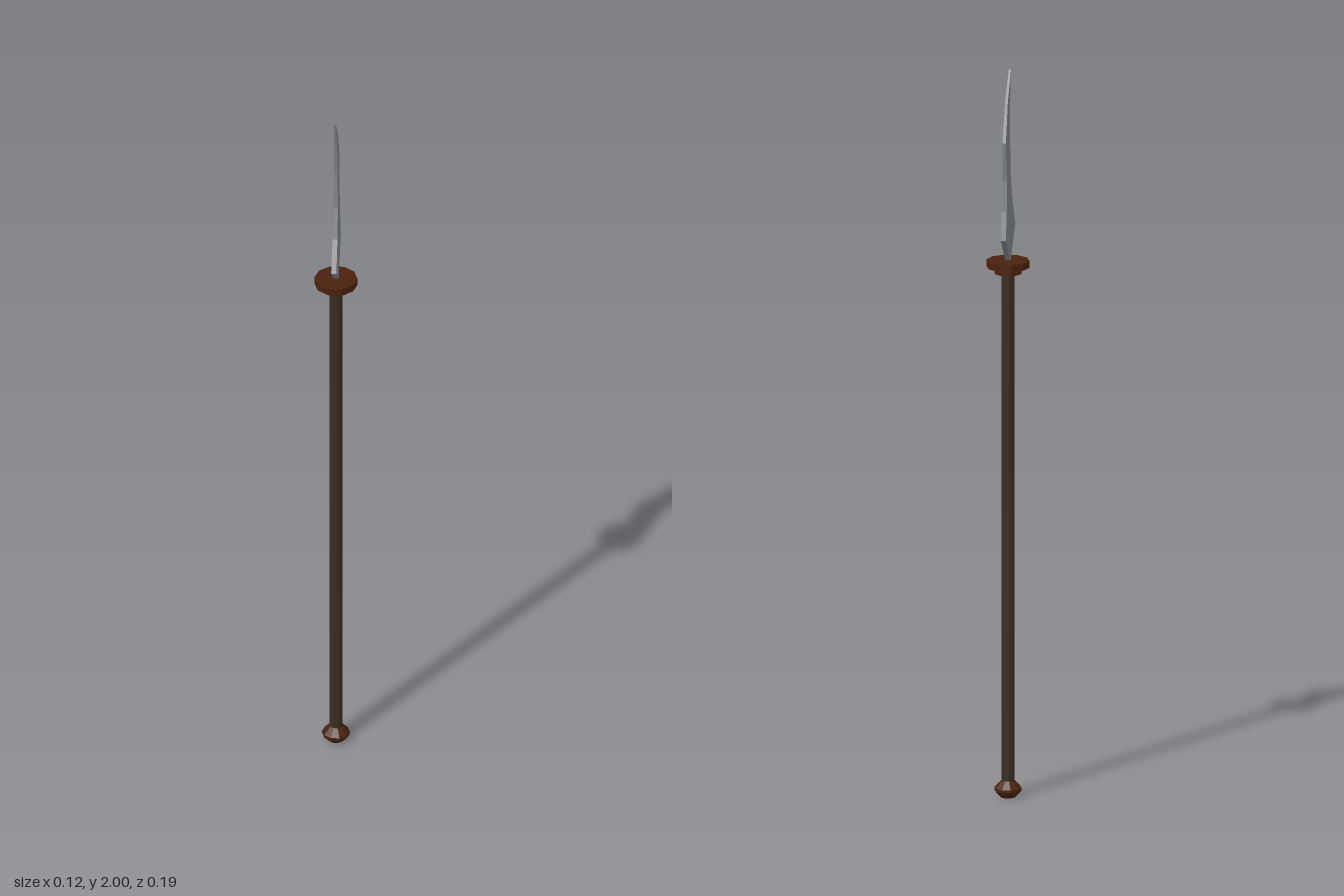
import * as THREE from 'three';

const steel = new THREE.MeshStandardMaterial({ color: 0x80858b, flatShading: true });
steel.name = 'steel';
const copper = new THREE.MeshStandardMaterial({ color: 0x4a210d, flatShading: true });
copper.name = 'darkCopper';
const wood = new THREE.MeshStandardMaterial({ color: 0x392d22, flatShading: true });
wood.name = 'darkWood';

// Ten-sided turned part; a corner lies on the x axis
function turned(name, profile, material) {
  const points = profile.map(([r, y]) => new THREE.Vector2(r, y));
  const geometry = new THREE.LatheGeometry(points, 10);
  geometry.rotateY(Math.PI / 2);
  const mesh = new THREE.Mesh(geometry, material);
  mesh.name = name;
  return mesh;
}

// Blade outline as [z, y], thinning towards the tip
function makeBlade() {
  const outline = [
    [0, 1.48], [0.095, 1.56], [0.042, 1.635], [0.012, 1.715], [0.005, 1.825], [0.016, 1.925],
    [0.037, 2], [-0.032, 1.925], [-0.077, 1.825], [-0.064, 1.715], [-0.074, 1.635], [-0.095, 1.56],
  ];
  const shape = new THREE.Shape(outline.map(([z, y]) => new THREE.Vector2(z, y)));
  const geometry = new THREE.ExtrudeGeometry(shape, { depth: 2, bevelEnabled: false });
  geometry.translate(0, 0, -1);
  geometry.rotateY(-Math.PI / 2);
  const p = geometry.attributes.position;
  for (let i = 0; i < p.count; i++) {
    const t = THREE.MathUtils.clamp((p.getY(i) - 1.6) / 0.4, 0, 1);
    p.setX(i, Math.sign(p.getX(i)) * (0.007 - 0.004 * t));
  }
  geometry.computeVertexNormals();
  const mesh = new THREE.Mesh(geometry, steel);
  mesh.name = 'blade';
  return mesh;
}

export function createModel() {
  const group = new THREE.Group();
  group.name = 'glaive';
  group.add(
    turned('shaft', [[0.018, 0.03], [0.018, 1.46]], wood),
    // Wide plate above a narrower collar
    turned('guard', [[0, 1.447], [0.037, 1.447], [0.037, 1.464], [0.058, 1.464], [0.058, 1.483], [0, 1.483]], copper),
    turned('pommel', [[0, 0], [0.02, 0], [0.037, 0.018], [0.037, 0.026], [0.018, 0.046], [0, 0.046]], copper),
    makeBlade(),
  );
  return group;
}
